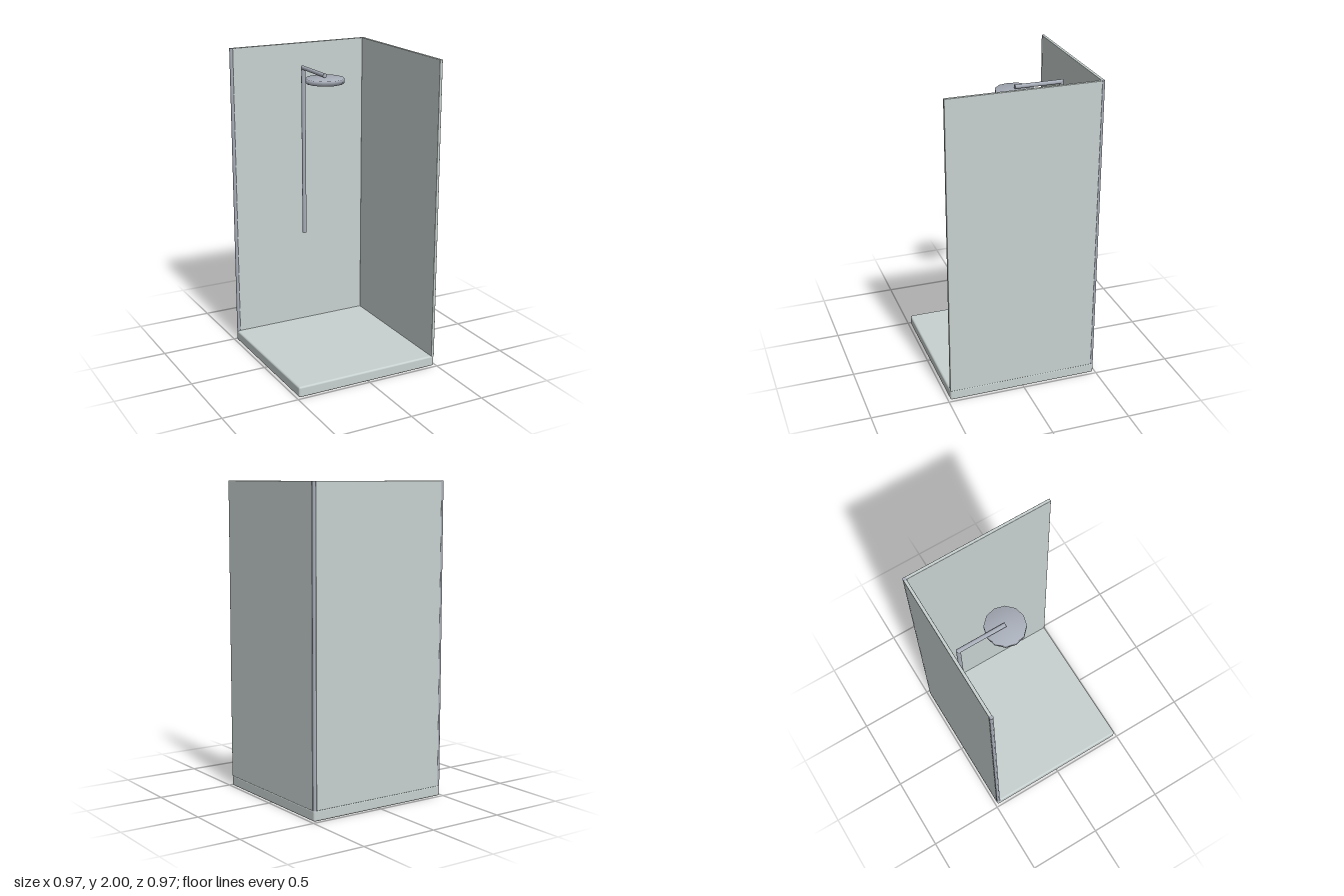
import * as THREE from 'three';
import { RoundedBoxGeometry } from 'three/addons/geometries/RoundedBoxGeometry.js';
import { mergeVertices } from 'three/addons/utils/BufferGeometryUtils.js';

const HALF = 0.485, TRAY = 0.07, TOP = 2, WALL = 0.02;

export function createModel() {
  const model = new THREE.Group();
  model.name = 'showerCabin';
  const panel = new THREE.MeshStandardMaterial({ color: 0xc8d2d0 });
  panel.name = 'pale panel';
  const metal = new THREE.MeshStandardMaterial({ color: 0xa9afba });
  metal.name = 'grey metal';

  const add = (name, geometry, material, x, y, z) => {
    const mesh = new THREE.Mesh(geometry, material);
    mesh.name = name;
    mesh.position.set(x, y, z);
    model.add(mesh);
    return mesh;
  };

  // Tray with softened edges
  add('tray', new RoundedBoxGeometry(HALF * 2, TRAY, HALF * 2, 2, 0.012), panel, 0, TRAY / 2, 0);

  // Two walls, stopping just inside the corner posts
  const height = TOP - TRAY + 0.005, midY = TOP - height / 2;
  const edge = HALF - WALL / 2;
  const inner = HALF - 0.018;
  add('backWall', new RoundedBoxGeometry(inner * 2, height, WALL, 1, 0.003), panel, 0, midY, -edge);
  add('leftWall', new RoundedBoxGeometry(WALL, height, HALF + inner, 1, 0.003), panel,
    edge, midY, (HALF - inner) / 2);

  // Corner posts along the back
  for (const side of [-1, 1]) {
    add(side < 0 ? 'rightPost' : 'leftPost', new THREE.CylinderGeometry(0.012, 0.012, height, 8),
      metal, side * 0.474, midY, -0.474);
  }

  // Riser pipe and arm, mitred together at the bend
  const r = 0.0142, bendY = 1.846, bendZ = -0.411, bottomY = 0.72, headZ = -0.105;
  const pipe = (length) => {
    const g = new THREE.CylinderGeometry(r, r, length, 8);
    g.translate(0, length / 2, 0);
    return g;
  };
  const mitre = (geometry, end, sign) => {
    const p = geometry.attributes.position;
    for (let i = 0; i < p.count; i++) {
      if (Math.abs(p.getY(i) - end) < 1e-4) p.setY(i, end + sign * p.getZ(i));
    }
    return geometry;
  };
  const riserLength = bendY - bottomY;
  add('riserPipe', mitre(pipe(riserLength), riserLength, -1), metal, 0, bottomY, bendZ);
  add('showerArm', mitre(pipe(headZ - bendZ), 0, 1), metal, 0, bendY, bendZ).rotation.x = Math.PI / 2;

  // Twelve-sided disc head with normals smoothed over its rim
  const disc = new THREE.CylinderGeometry(0.123, 0.123, 0.03, 12);
  disc.deleteAttribute('normal');
  disc.deleteAttribute('uv');
  const head = mergeVertices(disc);
  head.computeVertexNormals();
  add('showerHead', head, metal, 0, 1.816, headZ);

  return model;
}
